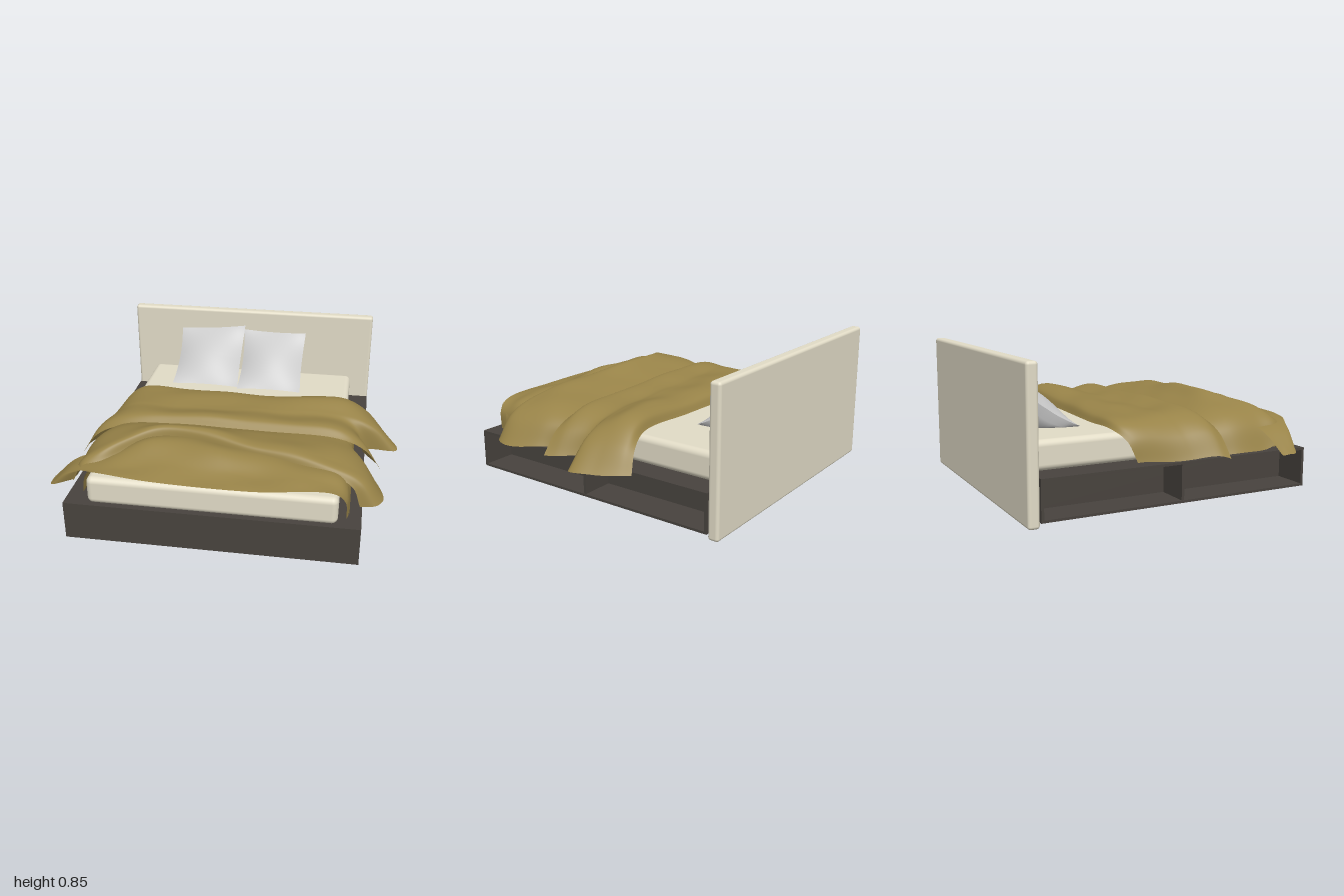
import * as THREE from 'three';
import { RoundedBoxGeometry } from 'three/addons/geometries/RoundedBoxGeometry.js';

const CX = -0.03; // the bed frame sits slightly off centre, the blanket reaches further on one side
const mat = (color, side = THREE.FrontSide) =>
  new THREE.MeshStandardMaterial({ color, side, roughness: 0.9 });

function add(parent, name, geometry, material, x = 0, y = 0, z = 0) {
  const mesh = new THREE.Mesh(geometry, material);
  mesh.name = name;
  mesh.position.set(x, y, z);
  parent.add(mesh);
  return mesh;
}

// Indexed grid surface from a function (u, v in 0..1) -> Vector3
function surface(nu, nv, f) {
  const g = new THREE.PlaneGeometry(1, 1, nu, nv);
  const p = g.attributes.position;
  for (let j = 0, k = 0; j <= nv; j++)
    for (let i = 0; i <= nu; i++, k++) {
      const q = f(i / nu, j / nv);
      p.setXYZ(k, q.x, q.y, q.z);
    }
  g.computeVertexNormals();
  return g;
}

// One cross-section of the blanket: hanging tips, plus heights and depths at four places on top
const TOP_X = [-0.69, -0.38, 0.2, 0.65];
function row(left, right, ys, zs) {
  const mid = TOP_X.map((x, i) => new THREE.Vector3(x, ys[i], zs[i]));
  const l = new THREE.Vector3(...left), r = new THREE.Vector3(...right);
  const hang = (tip, shoulder, s) => {
    const h = tip.clone().lerp(shoulder, 0.5);
    h.x += s * 0.025;
    h.y += 0.03;
    return h;
  };
  return new THREE.CatmullRomCurve3(
    [l, hang(l, mid[0], -1), ...mid, hang(r, mid[3], 1), r], false, 'centripetal');
}

// Loft a cloth panel through its rows, with soft diagonal wrinkles
function clothPanel(rows, phase, wrinkle) {
  const nu = 90, nv = 44;
  const columns = [];
  for (let i = 0; i <= nu; i++)
    columns.push(new THREE.CatmullRomCurve3(rows.map((r) => r.getPoint(i / nu)), false, 'centripetal'));
  return surface(nu, nv, (u, v) => {
    const p = columns[Math.round(u * nu)].getPoint(v);
    const fade = wrinkle * Math.sin(Math.PI * v);
    p.y += fade * (Math.sin(9 * p.x + 16 * p.z + phase) + 0.7 * Math.sin(17 * p.x - 13 * p.z + phase));
    p.y = Math.max(p.y, 0.262);
    return p;
  });
}

// Stuffed cushion slumped against the headboard: its back fills the corner, its top edge curls up
function pillow(width, height, roll) {
  const lean = new THREE.Vector3(0, 0.6, -0.8);
  const out = new THREE.Vector3(0, 0.8, 0.6);
  const half = (s) => surface(36, 36, (a, b) => {
    const u = a * 2 - 1, v = (b * 2 - 1) * s;
    const x = u * width / 2 * (1 - 0.05 * (1 - v * v));
    const h = v * height / 2 * (1 - 0.04 * (1 - u * u));
    const dome = Math.max(0, (1 - u * u) * (1 - v * v));
    const t = s > 0 ? 0.07 * dome : -0.17 * Math.sqrt(dome);
    const sag = 0.03 * (1 - v * v);
    const p = new THREE.Vector3(x, 0, 0).addScaledVector(lean, h).addScaledVector(out, t - sag);
    const top = Math.max(0, v);
    p.y += roll * u * top + 0.02 * top ** 3;
    p.y = Math.max(p.y, -0.138);
    p.z = Math.max(p.z, -0.185);
    return p;
  });
  return [half(1), half(-1)];
}

export function createModel() {
  const bed = new THREE.Group();
  bed.name = 'bed';
  const cream = mat(0xe2dcc7);
  const wood = mat(0x48433e);
  const cloth = mat(0x988348, THREE.DoubleSide);
  const linen = mat(0xcccccc, THREE.DoubleSide);

  add(bed, 'headboard', new RoundedBoxGeometry(1.665, 0.85, 0.066, 4, 0.018), cream, CX, 0.425, -0.836);
  add(bed, 'mattress', new RoundedBoxGeometry(1.4, 0.165, 1.64, 5, 0.035), cream, -0.025, 0.3425, 0.03);

  // Platform with open shelves along both sides
  const base = new THREE.Group();
  base.name = 'base';
  bed.add(base);
  const board = (name, w, h, d, x, y, z) => add(base, name, new THREE.BoxGeometry(w, h, d), wood, x, y, z);
  board('bottomPanel', 1.665, 0.014, 1.665, CX, 0.037, 0.0325);
  board('topPanel', 1.665, 0.014, 1.665, CX, 0.253, 0.0325);
  board('frontPanel', 1.665, 0.23, 0.016, CX, 0.145, 0.857);
  board('backPanel', 1.665, 0.23, 0.016, CX, 0.145, -0.792);
  board('core', 1.265, 0.204, 1.634, CX, 0.145, 0.0325);
  for (const s of [-1, 1])
    board('shelfDivider', 0.198, 0.204, 0.016, CX + s * 0.73, 0.145, 0.035);

  // Rumpled blanket in three overlapping folds, from the pillows to the foot
  const blanket = new THREE.Group();
  blanket.name = 'blanket';
  bed.add(blanket);
  const backFold = [
    row([-0.81, 0.27, -0.22], [0.85, 0.262, -0.35], [0.435, 0.43, 0.43, 0.44], [-0.31, -0.30, -0.27, -0.28]),
    row([-0.82, 0.27, -0.17], [0.90, 0.265, -0.29], [0.465, 0.475, 0.48, 0.49], [-0.28, -0.27, -0.24, -0.25]),
    row([-0.84, 0.27, -0.06], [0.96, 0.265, -0.18], [0.48, 0.50, 0.51, 0.52], [-0.15, -0.15, -0.15, -0.15]),
    row([-0.87, 0.27, 0.06], [1.0, 0.262, -0.03], [0.48, 0.495, 0.495, 0.49], [0, 0, -0.02, -0.04]),
    row([-0.88, 0.27, 0.10], [0.79, 0.27, 0.01], [0.48, 0.495, 0.49, 0.47], [0.05, 0.05, 0.03, 0.01]),
    row([-0.92, 0.28, 0.24], [0.88, 0.27, 0.17], [0.495, 0.52, 0.515, 0.49], [0.21, 0.19, 0.18, 0.18]),
    row([-0.93, 0.265, 0.30], [0.91, 0.265, 0.24], [0.455, 0.475, 0.47, 0.455], [0.27, 0.24, 0.23, 0.23]),
  ];
  const middleFold = [
    row([-0.82, 0.27, 0.24], [0.75, 0.27, 0.22], [0.44, 0.455, 0.45, 0.44], [0.20, 0.18, 0.18, 0.18]),
    row([-0.87, 0.27, 0.38], [0.86, 0.28, 0.36], [0.49, 0.525, 0.51, 0.475], [0.38, 0.34, 0.35, 0.37]),
    row([-0.87, 0.28, 0.58], [0.92, 0.27, 0.55], [0.50, 0.575, 0.545, 0.485], [0.56, 0.44, 0.50, 0.54]),
    row([-0.86, 0.32, 0.69], [0.88, 0.27, 0.64], [0.49, 0.565, 0.53, 0.475], [0.65, 0.47, 0.55, 0.61]),
    row([-0.83, 0.34, 0.745], [0.79, 0.27, 0.66], [0.445, 0.51, 0.48, 0.435], [0.69, 0.49, 0.57, 0.64]),
  ];
  const frontFold = [
    row([-1.0, 0.265, 0.60], [0.72, 0.27, 0.58], [0.43, 0.49, 0.47, 0.43], [0.53, 0.40, 0.42, 0.50]),
    row([-1.0, 0.275, 0.65], [0.73, 0.27, 0.67], [0.43, 0.54, 0.505, 0.45], [0.66, 0.56, 0.62, 0.66]),
    row([-0.99, 0.27, 0.70], [0.73, 0.27, 0.74], [0.435, 0.465, 0.46, 0.44], [0.76, 0.73, 0.75, 0.74]),
    row([-0.84, 0.34, 0.74], [0.72, 0.27, 0.79], [0.437, 0.437, 0.437, 0.435], [0.80, 0.845, 0.86, 0.81]),
  ];
  // The cloth tucked beneath the folds, hugging the mattress sides
  const tuckedLayer = [-0.2, 0.15, 0.5, 0.74].map((z) =>
    row([-0.78, 0.265, z], [0.735, 0.265, z], [0.432, 0.43, 0.43, 0.432], [z, z, z, z]));
  add(blanket, 'tuckedLayer', clothPanel(tuckedLayer, 0, 0), cloth);
  add(blanket, 'backFold', clothPanel(backFold, 0, 0.004), cloth);
  add(blanket, 'middleFold', clothPanel(middleFold, 2, 0.004), cloth);
  add(blanket, 'frontFold', clothPanel(frontFold, 4, 0.007), cloth);

  // Pair of pillows
  [[-0.30, 0.45, 0.02], [0.135, 0.43, -0.003]].forEach(([x, w, roll]) => {
    const group = new THREE.Group();
    group.name = 'pillow';
    group.position.set(x, 0.565 + Math.max(0, roll) / 2, -0.605);
    const [front, back] = pillow(w, 0.45, roll);
    add(group, 'pillowFront', front, linen);
    add(group, 'pillowBack', back, linen);
    bed.add(group);
  });

  return bed;
}
